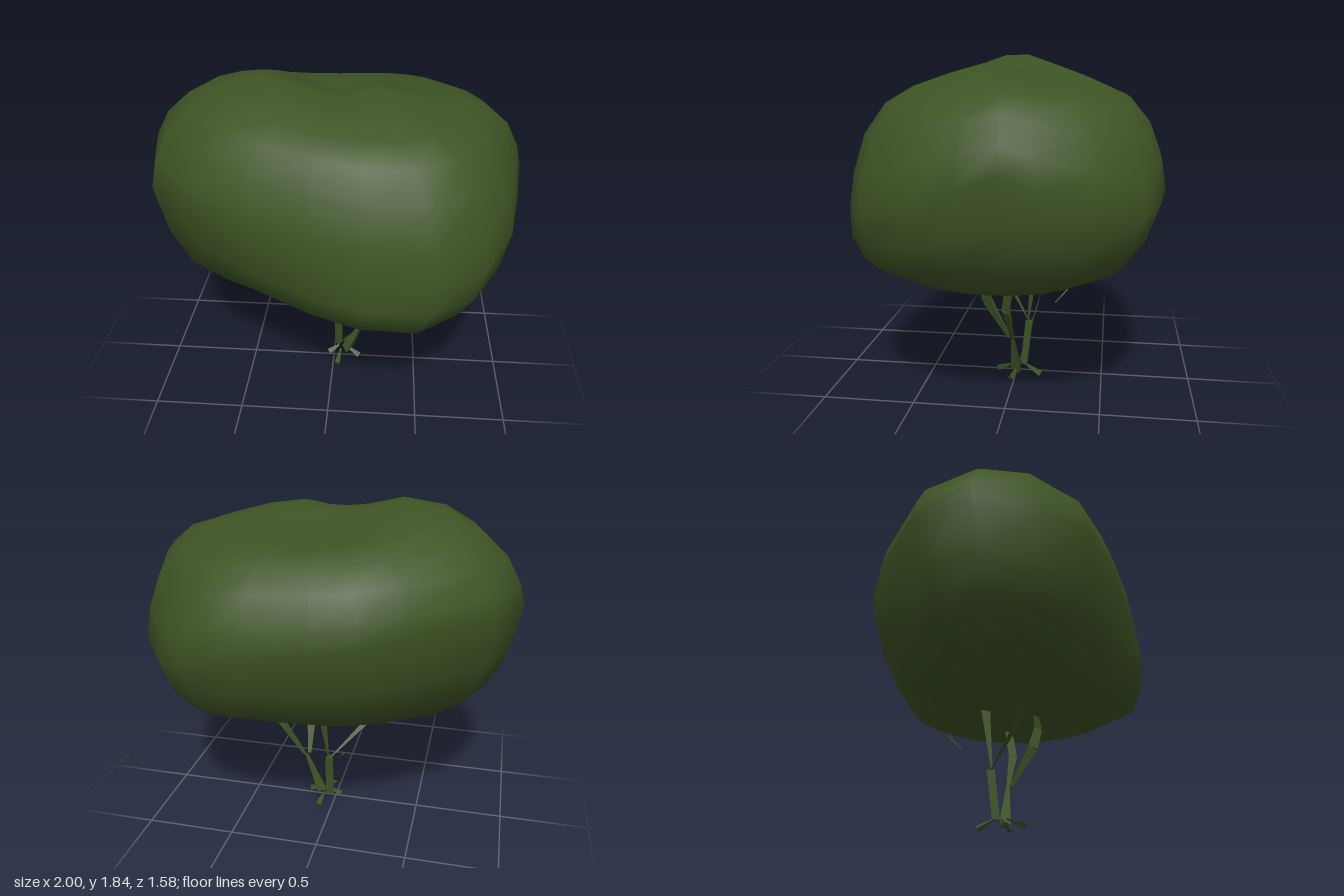
import * as THREE from 'three';
import { mergeVertices } from 'three/addons/utils/BufferGeometryUtils.js';

const leafGreen = new THREE.MeshStandardMaterial({ color: 0x3e5424, side: THREE.DoubleSide });
leafGreen.name = 'leafGreen';

// Widest outline of the canopy: x, z, height where it is widest, and how far the underside tucks in
const OUTLINE = [
  [-1, -0.05, 1.34, 0], [-0.87, -0.36, 1.34, 0], [-0.48, -0.62, 1.32, 0], [-0.26, -0.72, 1.28, 0],
  [-0.04, -0.77, 1.25, 0], [0.3, -0.79, 1.22, 0], [0.45, -0.79, 1.19, 0], [0.6, -0.76, 1.14, 0],
  [0.73, -0.69, 1.1, 0], [0.9, -0.48, 1.16, 0], [0.98, -0.2, 1.26, 0], [1, -0.05, 1.32, 0],
  [0.97, 0.15, 1.25, 0], [0.92, 0.4, 1.16, 0.04], [0.78, 0.65, 1.1, 0.06], [0.52, 0.79, 1.07, 0],
  [0.2, 0.79, 1.09, 0], [-0.08, 0.74, 1.14, 0.08], [-0.42, 0.64, 1.22, 0.18], [-0.7, 0.51, 1.3, 0.2],
  [-0.93, 0.27, 1.28, 0.08],
];
// Profile: scale along x and z and height fraction, below and above the widest line
const LOWER = [[0, 0, 0], [0.3, 0.25, 0], [0.53, 0.45, 0], [0.69, 0.61, 0.04], [0.87, 0.86, 0.28],
  [0.96, 0.96, 0.6], [1, 1, 1]];
const UPPER = [[0.97, 0.3], [0.9, 0.62], [0.78, 0.85], [0.62, 0.96], [0.4, 1], [0.2, 1], [0, 1]];

// Top surface: two soft bumps and a hollow behind them
function topHeight(x, z) {
  const bump = (cx, cz, r, h) => h * Math.exp(-((x - cx) ** 2 + (z - cz) ** 2) / (r * r));
  return 1.72 - 0.1 * z * z + bump(-0.42, 0.05, 0.34, 0.12) + bump(0.25, 0.12, 0.19, 0.075)
    - bump(-0.02, -0.2, 0.2, 0.07);
}

function canopyGeometry() {
  const bottom = 0.665, cx = 0.05, n = OUTLINE.length;
  const pos = [], index = [];
  // The underside leans towards the front
  for (const [sx, sz, f] of LOWER) {
    for (const [ox, oz, mid, tuck] of OUTLINE) {
      const pull = 1 - tuck * (1 - f);
      pos.push(cx + (ox - cx) * sx * pull, bottom + (mid - bottom) * f, oz * sz * pull + 0.09 * (1 - f));
    }
  }
  for (const [s, f] of UPPER) {
    for (const [ox, oz, mid] of OUTLINE) {
      const x = cx + (ox - cx) * s, z = oz * s;
      pos.push(x, mid + (topHeight(x, z) - mid) * f, z);
    }
  }
  const rings = LOWER.length + UPPER.length;
  for (let k = 0; k < rings - 1; k++) {
    for (let i = 0; i < n; i++) {
      const j = (i + 1) % n;
      const a = k * n + i, b = k * n + j, c = a + n, d = b + n;
      if (k > 0) index.push(a, c, b);
      if (k < rings - 2) index.push(b, c, d);
    }
  }
  let geo = new THREE.BufferGeometry();
  geo.setAttribute('position', new THREE.Float32BufferAttribute(pos, 3));
  geo.setIndex(index);
  geo = mergeVertices(geo, 1e-4);
  geo.computeVertexNormals();
  return geo;
}

// Three-sided tapered stick between two points, faceted
function stick(name, from, to, r0, r1) {
  const a = new THREE.Vector3(...from), b = new THREE.Vector3(...to);
  const dir = b.clone().sub(a);
  const geo = new THREE.CylinderGeometry(r1, r0, dir.length(), 3, 1).toNonIndexed();
  geo.computeVertexNormals();
  const mesh = new THREE.Mesh(geo, leafGreen);
  mesh.name = name;
  mesh.position.copy(a).add(b).multiplyScalar(0.5);
  mesh.quaternion.setFromUnitVectors(new THREE.Vector3(0, 1, 0), dir.normalize());
  return mesh;
}

// Stick segments through a list of [x, y, z, radius]
function branch(name, points) {
  const group = new THREE.Group();
  group.name = name;
  for (let i = 0; i < points.length - 1; i++) {
    const p = points[i], q = points[i + 1];
    group.add(stick(name + 'Segment', p.slice(0, 3), q.slice(0, 3), p[3], q[3]));
  }
  return group;
}

export function createModel() {
  const model = new THREE.Group();
  model.name = 'bush';

  const canopy = new THREE.Mesh(canopyGeometry(), leafGreen);
  canopy.name = 'canopy';
  model.add(canopy);

  // Two stems that fork below the leaves
  model.add(
    branch('rearStem', [[0.025, 0.04, -0.05, 0.026], [0.02, 0.31, -0.08, 0.028]]),
    branch('rearStemTop', [[0.03, 0.31, -0.07, 0.005], [0.06, 0.69, -0.12, 0.034]]),
    branch('sideBranch', [[0.01, 0.31, -0.07, 0.004], [-0.2, 0.52, 0.1, 0.02], [-0.26, 0.565, 0.13, 0.005]]),
    branch('twig', [[-0.06, 0.4, -0.22, 0.004], [-0.11, 0.47, -0.29, 0.006]]),
    branch('frontStem', [[0.08, 0.03, -0.01, 0.038], [0.18, 0.26, 0, 0.012]]),
    branch('middleBranch', [[0.17, 0.26, 0.02, 0.012], [0.18, 0.48, 0.14, 0.034], [0.2, 0.6, 0.17, 0.03], [0.16, 0.69, 0.16, 0.015]]),
    branch('outerBranch', [[0.19, 0.26, 0, 0.012], [0.34, 0.48, 0.01, 0.03], [0.38, 0.6, -0.01, 0.03], [0.45, 0.7, -0.03, 0.02]]),
  );

  // Pointed roots lying on the ground
  const rootTips = [[-0.03, 0.01, 0.0], [0.03, 0.01, 0.11], [0.16, 0.01, 0.02], [0.08, 0.01, -0.15]];
  for (const [x, y, z] of rootTips) {
    model.add(stick('root', [0.05 + (x - 0.05) * 0.25, 0.05, -0.02 + z * 0.3], [x, y, z], 0.006, 0.02));
  }
  return model;
}
